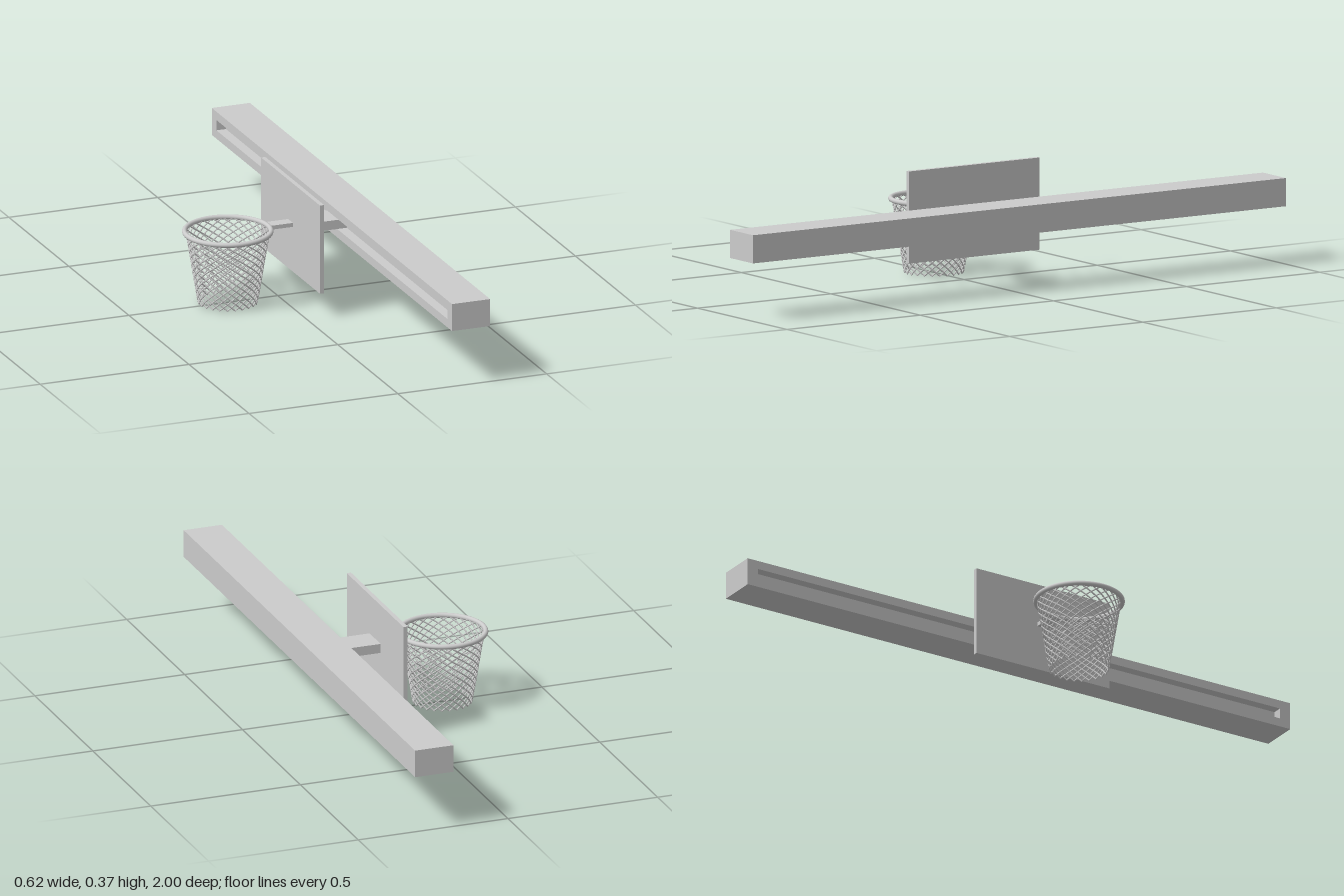
import * as THREE from 'three';

export function createModel() {
  const group = new THREE.Group();
  const mat = new THREE.MeshStandardMaterial({ color: 0xcccccc });

  const add = (name, geometry, parent = group) => {
    const mesh = new THREE.Mesh(geometry, mat);
    mesh.name = name;
    parent.add(mesh);
    return mesh;
  };
  // box given by its x and y limits, centred on z = 0
  const box = (name, x0, x1, y0, y1, depth) =>
    add(name, new THREE.BoxGeometry(x1 - x0, y1 - y0, depth))
      .position.set((x0 + x1) / 2, (y0 + y1) / 2, 0);
  const rect = (path, w, h) =>
    path.moveTo(-w, -h).lineTo(w, -h).lineTo(w, h).lineTo(-w, h).closePath();

  // Long rail: solid back plus a slotted face towards -x
  const railX = 0.182, railTop = 0.272, railBottom = 0.183, slotDepth = 0.032;
  box('railBody', railX + slotDepth, 0.31, railBottom, railTop, 2);
  const face = rect(new THREE.Shape(), 1, (railTop - railBottom) / 2);
  face.holes.push(rect(new THREE.Path(), 0.962, 0.017));
  const slotted = new THREE.ExtrudeGeometry(face, { depth: slotDepth, bevelEnabled: false });
  slotted.rotateY(Math.PI / 2);
  add('railSlottedFace', slotted).position.set(railX, (railTop + railBottom) / 2, 0);

  // Sliding arm, backboard and hoop bracket
  box('slidingArm', 0.057, railX + slotDepth, 0.212, 0.242, 0.096);
  box('backboard', 0.043, 0.057, 0.08, 0.371, 0.49);
  box('hoopBracket', -0.032, 0.043, 0.228, 0.241, 0.04);

  // Hoop
  const basket = new THREE.Group();
  basket.name = 'basket';
  basket.position.x = -0.168;
  group.add(basket);
  const hoopY = 0.235;
  const hoop = new THREE.TorusGeometry(0.135, 0.008, 14, 72);
  hoop.rotateX(Math.PI / 2);
  add('hoop', hoop, basket).position.y = hoopY;

  // Net: two families of crossing spiral strands on a cone
  const strands = 24, turn = Math.PI * 2 * 0.44;
  const topR = 0.13, bottomR = 0.092, bottomY = 0.002;
  for (const dir of [1, -1]) {
    const points = [];
    for (let i = 0; i <= 14; i++) {
      const t = i / 14, r = topR + (bottomR - topR) * t, a = dir * turn * t;
      points.push(new THREE.Vector3(
        r * Math.cos(a), hoopY + (bottomY - hoopY) * t, r * Math.sin(a)));
    }
    const strand = new THREE.TubeGeometry(new THREE.CatmullRomCurve3(points), 28, 0.0024, 6);
    for (let k = 0; k < strands; k++)
      add('netStrand', strand, basket).rotation.y = (k / strands) * Math.PI * 2;
  }

  return group;
}
